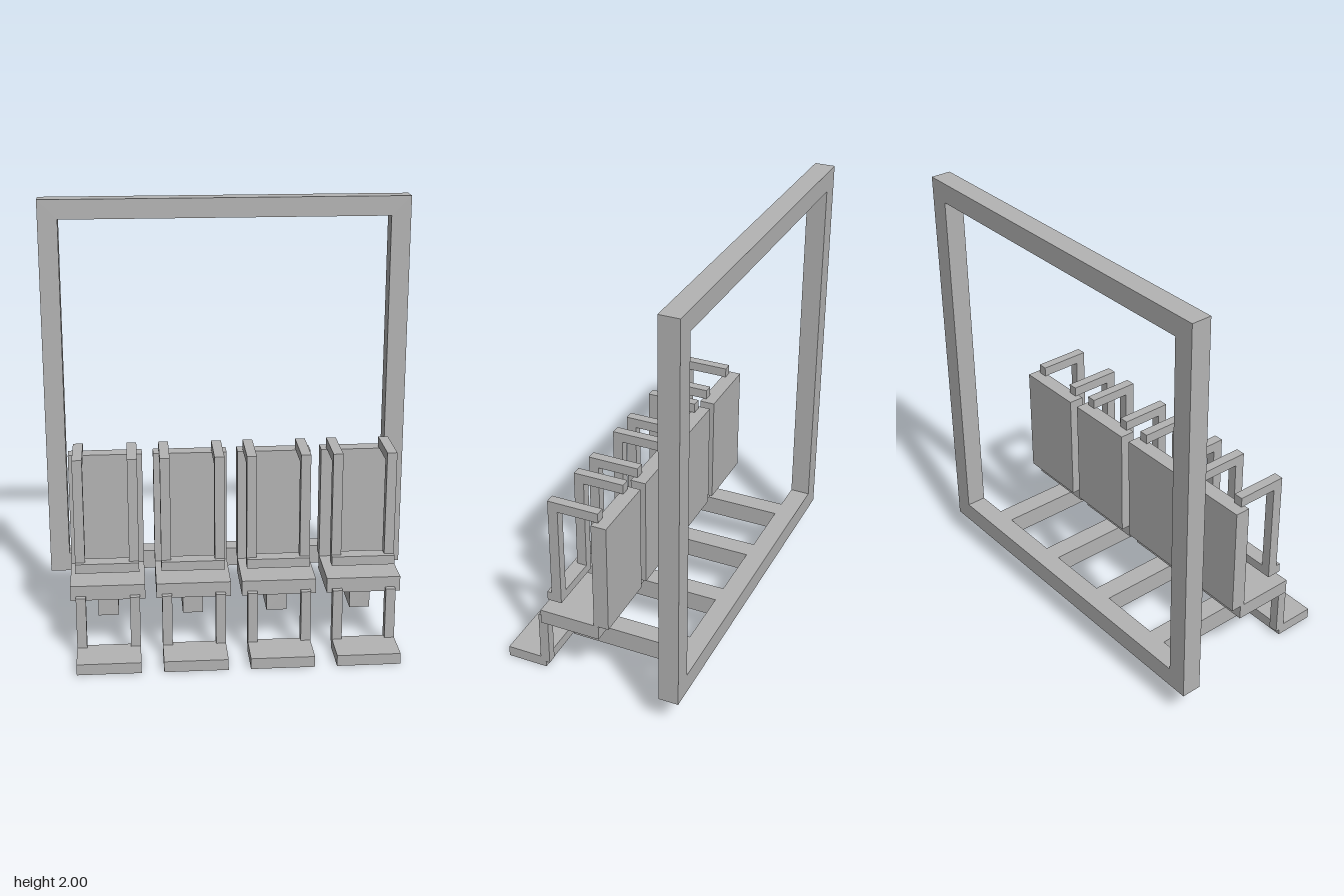
import * as THREE from 'three';

const grey = new THREE.MeshStandardMaterial({ color: 0xb4b4b4 });
grey.name = 'grey';

// Box given by its lower and upper limits on each axis
function box(parent, name, [x0, x1], [y0, y1], [z0, z1]) {
  const mesh = new THREE.Mesh(new THREE.BoxGeometry(x1 - x0, y1 - y0, z1 - z0), grey);
  mesh.position.set((x0 + x1) / 2, (y0 + y1) / 2, (z0 + z1) / 2);
  mesh.name = name;
  parent.add(mesh);
}

// Upright rectangular frame with an open middle
function createFrame() {
  const w = 0.875, y0 = 0.153, y1 = 2, t = 0.093;
  const shape = new THREE.Shape([
    new THREE.Vector2(-w, y0), new THREE.Vector2(w, y0),
    new THREE.Vector2(w, y1), new THREE.Vector2(-w, y1),
  ]);
  shape.holes.push(new THREE.Path([
    new THREE.Vector2(-w + t, y0 + t), new THREE.Vector2(-w + t, y1 - t),
    new THREE.Vector2(w - t, y1 - t), new THREE.Vector2(w - t, y0 + t),
  ]));
  const geometry = new THREE.ExtrudeGeometry(shape, { depth: t, bevelEnabled: false });
  const frame = new THREE.Mesh(geometry, grey);
  frame.position.z = -0.462;
  frame.name = 'frame';
  return frame;
}

// One seat with its support arm, shoulder restraint and footrest
function createSeat() {
  const seat = new THREE.Group();
  seat.name = 'seat';
  const wide = [-0.17, 0.17], narrow = [-0.145, 0.145];

  box(seat, 'supportArm', [-0.047, 0.047], [0.153, 0.246], [-0.369, 0.17]);
  box(seat, 'seatBase', wide, [0.275, 0.345], [-0.022, 0.268]);
  box(seat, 'seatBack', wide, [0.345, 0.88], [-0.072, 0]);

  for (const side of [-1, 1]) {
    const x = [side * 0.1225 - 0.0225, side * 0.1225 + 0.0225];
    box(seat, 'shoulderBar', x, [0.884, 0.93], [-0.022, 0.22]);
    box(seat, 'chestBar', x, [0.44, 0.884], [0.173, 0.22]);
    box(seat, 'footrestPost', x, [0.028, 0.295], [0.249, 0.295]);
  }
  box(seat, 'lapBar', narrow, [0.396, 0.44], [0.173, 0.242]);
  box(seat, 'footrest', narrow, [0, 0.051], [0.268, 0.462]);
  return seat;
}

export function createModel() {
  const model = new THREE.Group();
  model.name = 'rideSeatRow';
  model.add(createFrame());
  for (let i = 0; i < 4; i++) {
    const seat = createSeat();
    seat.position.x = (i - 1.5) * 0.391;
    model.add(seat);
  }
  return model;
}
